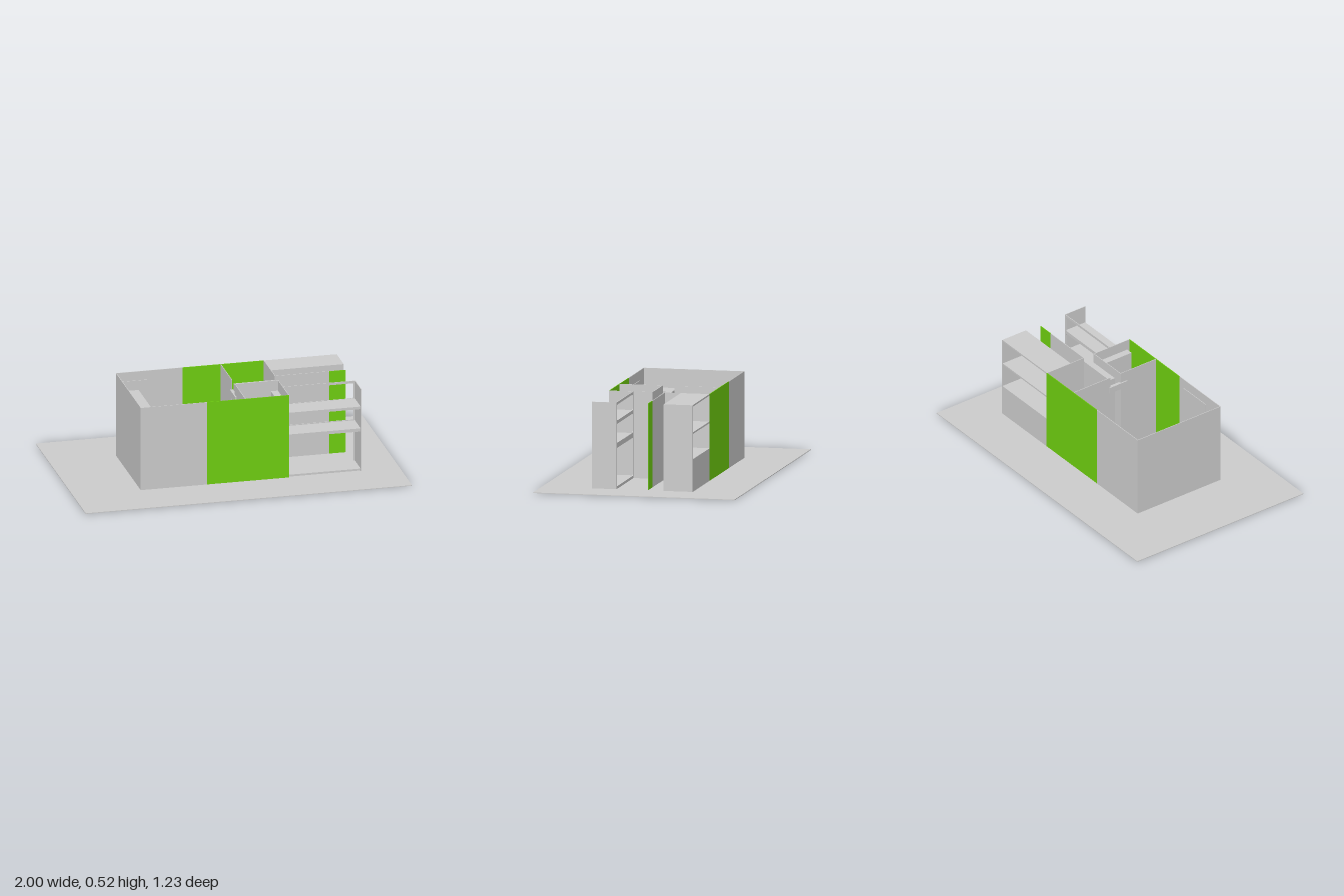
import * as THREE from 'three';

const H = 0.525; // wall height
const T = 0.004; // panel thickness

export function createModel() {
  const model = new THREE.Group();
  const grey = new THREE.MeshStandardMaterial({ color: 0xcccccc });
  const green = new THREE.MeshStandardMaterial({ color: 0x6fce10 });

  // Box given by its extents along each axis
  const block = (name, [x0, x1], [y0, y1], [z0, z1], material = grey) => {
    const mesh = new THREE.Mesh(new THREE.BoxGeometry(x1 - x0, y1 - y0, z1 - z0), material);
    mesh.position.set((x0 + x1) / 2, (y0 + y1) / 2, (z0 + z1) / 2);
    mesh.name = name;
    model.add(mesh);
  };
  // Thin upright panels running along x or along z
  const panelX = (name, xs, z, ys = [0, H], m = grey) => block(name, xs, ys, [z - T / 2, z + T / 2], m);
  const panelZ = (name, x, zs, ys = [0, H], m = grey) => block(name, [x - T / 2, x + T / 2], ys, zs, m);

  block('groundSlab', [-1, 1], [0, T], [-0.615, 0.615]);

  // Long outer walls with a green section, and the end wall
  for (const [side, z] of [['front', 0.308], ['back', -0.303]]) {
    panelX(side + 'Wall', [-0.585, -0.18], z);
    panelX(side + 'GreenWall', [-0.18, 0.32], z, [0, H], green);
  }
  panelZ('endWall', -0.585, [-0.305, 0.31]);

  // Counter along the end wall, with panels against the long walls
  block('counterTop', [-0.585, -0.45], [0.395, 0.41], [-0.3, 0.305]);
  panelZ('counterFront', -0.455, [-0.3, 0.305], [0, 0.395]);
  panelX('backSidePanel', [-0.585, -0.4], -0.296, [0, 0.47]);
  panelX('frontSidePanel', [-0.45, -0.23], 0.301, [0, 0.47]);

  // Cross partition with a doorway
  panelZ('partitionBack', 0.055, [-0.303, -0.03]);
  panelZ('partitionFront', 0.055, [0.045, 0.308]);
  block('doorLintel', [0.045, 0.065], [0.42, 0.46], [-0.04, 0.09]);

  // Passage walls and the thick shelf beside them
  block('passageBackWall', [0.065, 0.32], [0, 0.5], [-0.03, 0.01]);
  panelX('passageFrontWall', [0.055, 0.32], 0.045);
  block('narrowCabinet', [0.275, 0.318], [0, 0.46], [0.045, 0.29]);
  panelZ('roomWallBack', 0.32, [-0.303, -0.03]);
  panelZ('roomWallFront', 0.32, [0.045, 0.308]);

  // Sliding panel with a green end
  panelX('slidingPanel', [0.32, 0.65], -0.03);
  panelX('slidingPanelGreen', [0.65, 0.75], -0.03, [0, H], green);

  // Front shelf unit: frame with three rounded openings, shelves and end
  const frame = new THREE.Shape();
  frame.moveTo(0.32, 0).lineTo(0.765, 0).lineTo(0.765, H).lineTo(0.32, H).closePath();
  for (const [y0, y1] of [[0.02, 0.25], [0.28, 0.395], [0.415, 0.51]]) {
    const [a, b, r] = [0.33, 0.75, 0.008];
    const hole = new THREE.Path();
    hole.moveTo(a + r, y0).lineTo(b - r, y0).quadraticCurveTo(b, y0, b, y0 + r)
      .lineTo(b, y1 - r).quadraticCurveTo(b, y1, b - r, y1)
      .lineTo(a + r, y1).quadraticCurveTo(a, y1, a, y1 - r)
      .lineTo(a, y0 + r).quadraticCurveTo(a, y0, a + r, y0);
    frame.holes.push(hole);
  }
  const frameMesh = new THREE.Mesh(
    new THREE.ExtrudeGeometry(frame, { depth: T, bevelEnabled: false, curveSegments: 4 }), grey);
  frameMesh.position.z = 0.16;
  frameMesh.name = 'frontShelfFrame';
  model.add(frameMesh);
  for (const [y0, y1] of [[0.008, 0.02], [0.255, 0.275], [0.397, 0.413]]) {
    block('frontShelf', [0.32, 0.763], [y0, y1], [0.16, 0.308]);
  }
  panelZ('frontShelfEnd', 0.763, [0.16, 0.31]);

  // Back shelf unit: open to the back above a closed base
  for (const y of [0.2, 0.36, H]) {
    block('backShelf', [0.32, 0.763], [y - 0.01, y], [-0.303, -0.13]);
  }
  panelX('backShelfInnerPanel', [0.32, 0.763], -0.13);
  panelX('backShelfGreenPanel', [0.65, 0.755], -0.126, [0.23, 0.46], green);
  panelX('backShelfBase', [0.32, 0.763], -0.303, [0, 0.2]);
  panelZ('backShelfEnd', 0.763, [-0.305, -0.128]);

  return model;
}
